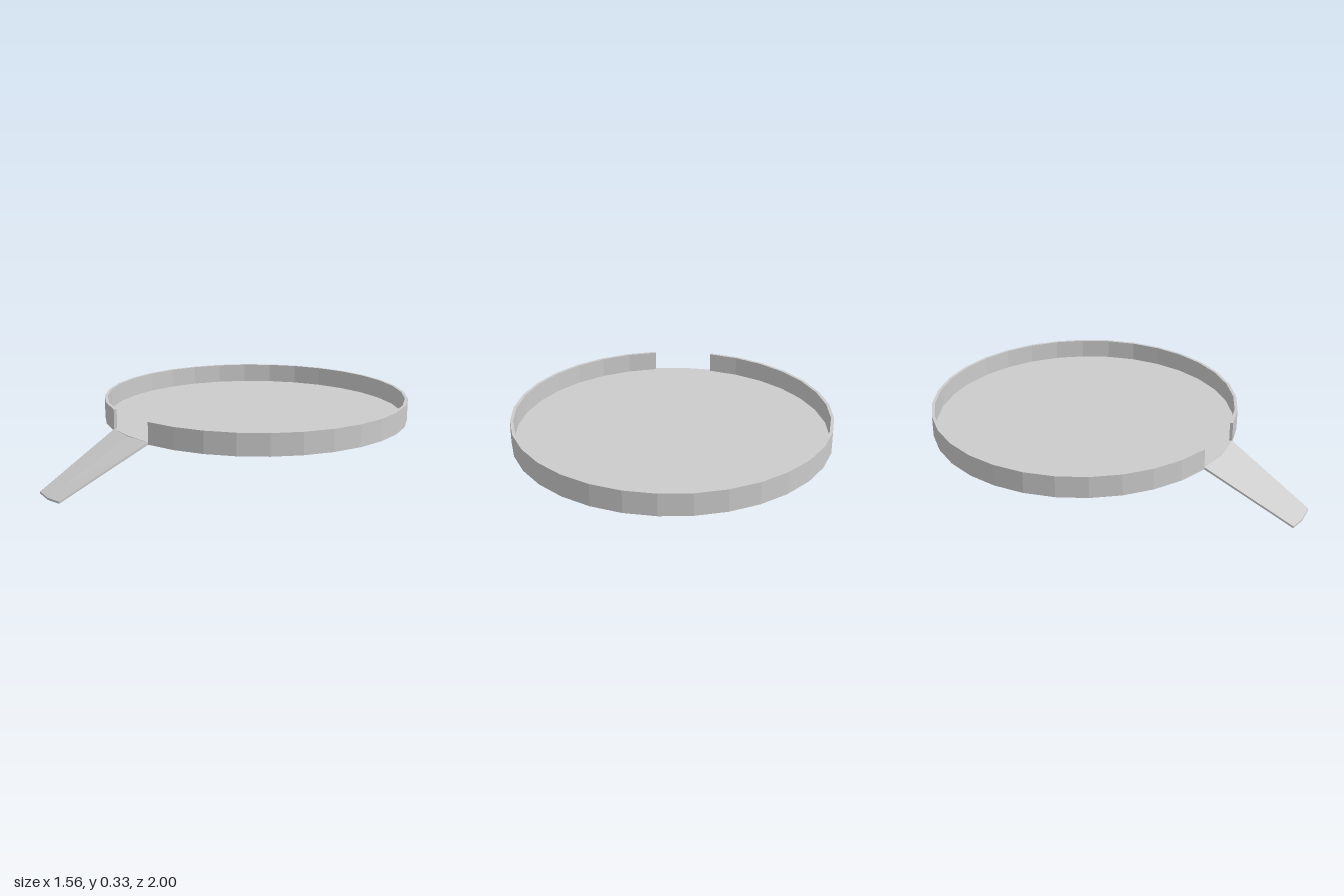
import * as THREE from 'three';

const SIDES = 32, RADIUS = 0.78, INNER = 0.765, CENTRE_Z = -0.22;
const BASE_Y = 0.22, FLOOR_Y = 0.232, TOP_Y = 0.33;

// Thin sloping tongue: matching three-point edges at the tray and at the tip
function rampGeometry() {
  const step = (Math.PI * 2) / SIDES;
  const sx = RADIUS * Math.sin(step), sz = CENTRE_Z + RADIUS * Math.cos(step);
  const ring = (x, zSide, zMid, top, drop, thick) => [
    [-x, top, zSide], [0, top - drop, zMid], [x, top, zSide],
    [x, top - thick, zSide], [0, top - drop - thick, zMid], [-x, top - thick, zSide],
  ];
  const points = [
    ...ring(sx, sz, CENTRE_Z + RADIUS, FLOOR_Y, 0.003, 0.012),
    ...ring(0.092, 0.99, 1, 0.014, 0.004, 0.01),
  ];
  const index = [];
  for (let i = 0; i < 6; i++) {
    const j = (i + 1) % 6;
    index.push(i, i + 6, j, j, i + 6, j + 6);
  }
  // Close both ends
  for (const [a, b, c, d] of [[0, 1, 4, 5], [1, 2, 3, 4]]) {
    index.push(a, b, c, a, c, d);
    index.push(a + 6, c + 6, b + 6, a + 6, d + 6, c + 6);
  }
  const geo = new THREE.BufferGeometry();
  geo.setAttribute('position', new THREE.Float32BufferAttribute(points.flat(), 3));
  geo.setIndex(index);
  geo.computeVertexNormals();
  return geo;
}

// Upright wall running round the tray, open for two facets at the front
function rimGeometry() {
  const arc = (r) => Array.from({ length: SIDES - 1 }, (_, i) => {
    const a = -Math.PI / 2 + ((i + 1) * Math.PI * 2) / SIDES;
    return new THREE.Vector2(r * Math.cos(a), r * Math.sin(a));
  });
  const shape = new THREE.Shape([...arc(RADIUS), ...arc(INNER).reverse()]);
  const geo = new THREE.ExtrudeGeometry(shape, { depth: TOP_Y - FLOOR_Y, bevelEnabled: false });
  return geo.rotateX(-Math.PI / 2);
}

export function createModel() {
  const group = new THREE.Group();
  group.name = 'trayWithRamp';
  const material = new THREE.MeshStandardMaterial({
    color: 0xcccccc, flatShading: true, side: THREE.DoubleSide,
  });
  const add = (name, geometry, y = 0, z = 0) => {
    const mesh = new THREE.Mesh(geometry, material);
    mesh.name = name;
    mesh.position.set(0, y, z);
    group.add(mesh);
  };

  const thickness = FLOOR_Y - BASE_Y;
  add('floor', new THREE.CylinderGeometry(RADIUS, RADIUS, thickness, SIDES), BASE_Y + thickness / 2, CENTRE_Z);
  add('rim', rimGeometry(), FLOOR_Y, CENTRE_Z);
  add('ramp', rampGeometry());
  return group;
}
